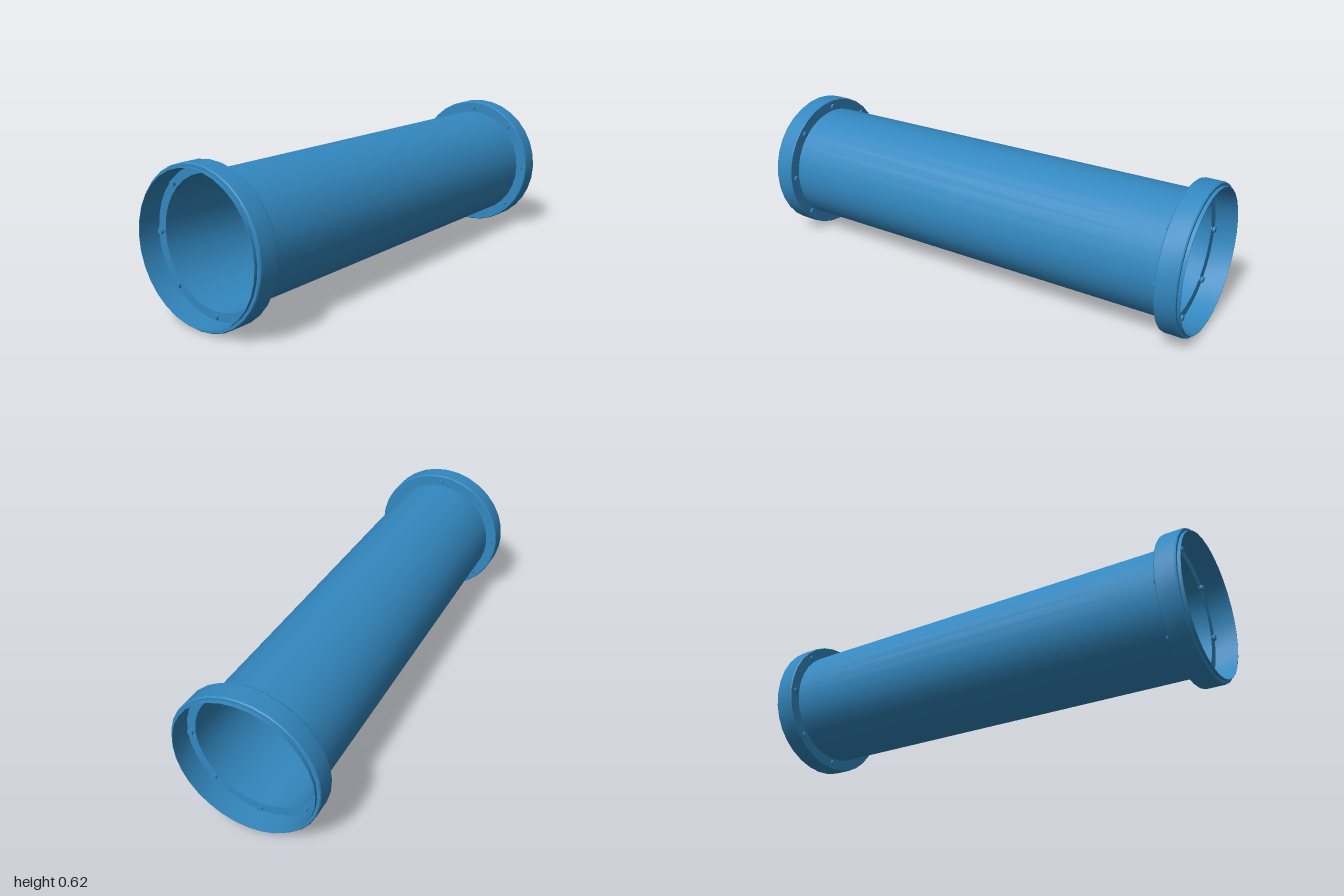
import * as THREE from 'three';
import { toCreasedNormals } from 'three/addons/utils/BufferGeometryUtils.js';

const SIDES = 32;
const PIPE_R = 0.257;
const BOLT_RING_R = 0.276;
const BOLT_COUNT = 8;

export function createModel() {
  const model = new THREE.Group();
  model.name = 'flangedPipe';
  const material = new THREE.MeshStandardMaterial({ color: 0x3388c0, side: THREE.DoubleSide });

  const add = (parent, geometry, name) => {
    const mesh = new THREE.Mesh(geometry, material);
    mesh.name = name;
    parent.add(mesh);
    return mesh;
  };

  // Everything is built along y, then laid down along z
  const body = new THREE.Group();
  body.name = 'pipeAssembly';
  body.rotation.x = Math.PI / 2;
  body.position.y = 0.308;
  model.add(body);

  // Thin open tube
  add(body, new THREE.CylinderGeometry(PIPE_R, PIPE_R, 1.81, SIDES, 1, true), 'tube');

  // Flange section: back plate, collar, stepped thin lip, recess
  const profile = [
    [PIPE_R, 0.9], [0.304, 0.9], [0.3075, 0.905], [0.3075, 0.982], [0.304, 0.987],
    [0.293, 0.987], [0.293, 1], [0.291, 1], [0.291, 0.908], [PIPE_R, 0.908],
  ].map(([r, y]) => new THREE.Vector2(r, y));
  const flangeGeometry = toCreasedNormals(new THREE.LatheGeometry(profile, SIDES), Math.PI / 6);

  // Bolts pass through the plate and show on both faces
  const boltGeometry = new THREE.CylinderGeometry(0.012, 0.012, 0.028, 12);

  for (const end of ['front', 'back']) {
    const cap = new THREE.Group();
    cap.name = end + 'Flange';
    if (end === 'back') cap.rotation.x = Math.PI;
    body.add(cap);
    add(cap, flangeGeometry, end + 'Collar');
    for (let i = 0; i < BOLT_COUNT; i++) {
      const a = (i / BOLT_COUNT) * Math.PI * 2;
      add(cap, boltGeometry, end + 'Bolt').position.set(
        Math.sin(a) * BOLT_RING_R, 0.904, Math.cos(a) * BOLT_RING_R);
    }
  }
  return model;
}
